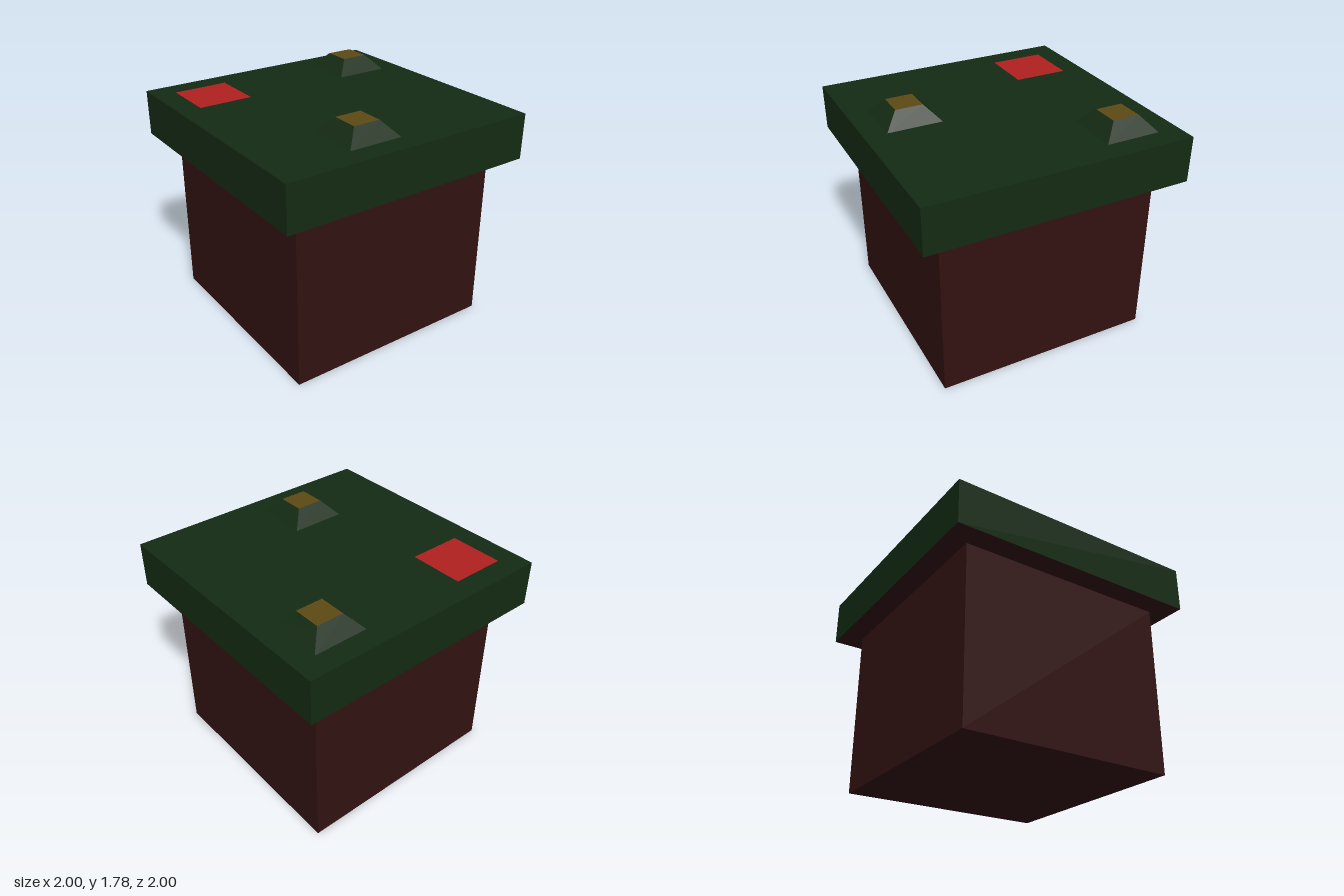
import * as THREE from 'three';

const mat = (color) => new THREE.MeshStandardMaterial({ color, flatShading: true });

export function createModel() {
  const model = new THREE.Group();
  const brown = mat(0x331212);
  const green = mat(0x142b13);
  const yellow = mat(0x5c4a14);
  const red = mat(0xb02020);

  const add = (name, geometry, material, x, y, z) => {
    const mesh = new THREE.Mesh(geometry, material);
    mesh.name = name;
    mesh.position.set(x, y, z);
    model.add(mesh);
    return mesh;
  };

  // Earth block
  const bodyTop = 1.32, slabTop = 1.667;
  add('earthBlock', new THREE.BoxGeometry(1.667, bodyTop, 1.667), brown, 0, bodyTop / 2, 0);

  // Overhanging grass slab with an earth-coloured underside
  const slabHeight = slabTop - bodyTop;
  add('grassSlab', new THREE.BoxGeometry(2, slabHeight, 2),
    [green, green, green, brown, green, green], 0, bodyTop + slabHeight / 2, 0);

  // Truncated pyramids with yellow tops
  const studHeight = 0.111;
  const stud = new THREE.CylinderGeometry(0.104 * Math.SQRT2, 0.208 * Math.SQRT2, studHeight, 4)
    .rotateY(Math.PI / 4);
  for (const [name, x, z] of [['backStud', -0.625, -0.625], ['frontStud', 0.625, 0.208]]) {
    add(name, stud, [green, yellow, green], x, slabTop + studHeight / 2, z);
  }

  // Flat red square flush with the grass
  const patch = new THREE.PlaneGeometry(0.417, 0.417).rotateX(-Math.PI / 2);
  add('redPatch', patch, red, -0.625, slabTop + 0.002, 0.625);

  return model;
}
